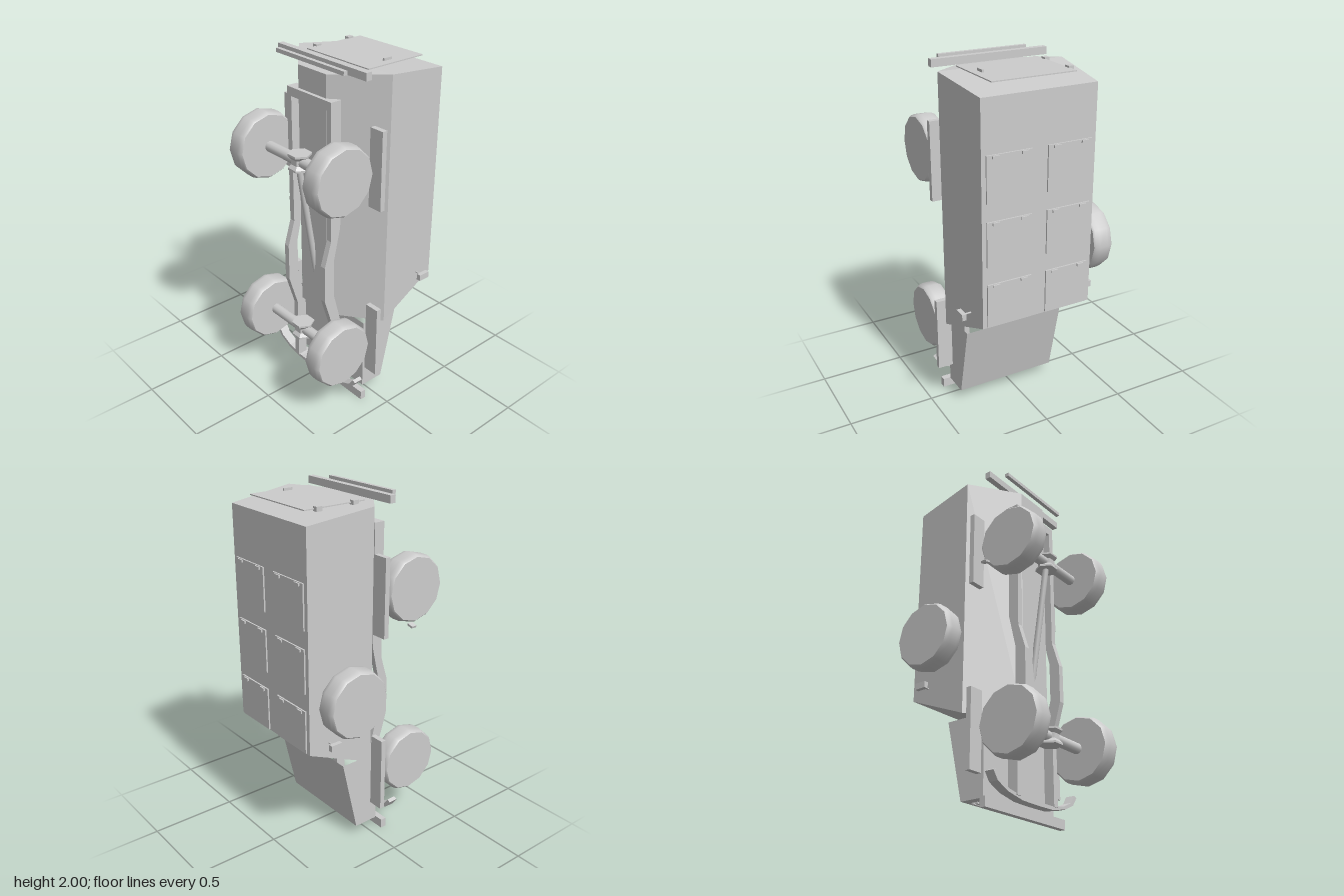
import * as THREE from 'three';
import { ConvexGeometry } from 'three/addons/geometries/ConvexGeometry.js';

const CX = 0.04; // centre line of the vehicle

export function createModel() {
  const root = new THREE.Group();
  const grey = new THREE.MeshStandardMaterial({ color: 0xcccccc });
  grey.name = 'plain grey';

  const add = (name, geo) => {
    const m = new THREE.Mesh(geo, grey);
    m.name = name;
    root.add(m);
    return m;
  };
  // box given by its limits on each axis
  const box = (name, x0, x1, y0, y1, z0, z1) => {
    const m = add(name, new THREE.BoxGeometry(x1 - x0, y1 - y0, z1 - z0));
    m.position.set((x0 + x1) / 2, (y0 + y1) / 2, (z0 + z1) / 2);
    return m;
  };
  // round bar between two points
  const bar = (name, a, b, r, sides = 12) => {
    const d = b.clone().sub(a);
    const m = add(name, new THREE.CylinderGeometry(r, r, d.length(), sides));
    m.position.copy(a).add(b).multiplyScalar(0.5);
    m.quaternion.setFromUnitVectors(new THREE.Vector3(0, 1, 0), d.normalize());
    return m;
  };
  const V = (x, y, z) => new THREE.Vector3(x, y, z);

  // Cabin and hull: roof, waist and keel lines as [half width, z, nose y, tail y]
  const hull = [];
  for (const [w, z, y0, y1] of [[0.33, -0.437, 0.675, 1.915], [0.365, -0.042, 0.51, 1.962], [0.11, 0.168, 0.52, 1.945]])
    for (const s of [-1, 1]) hull.push(V(CX + s * w, y0, z), V(CX + s * w, y1, z));
  add('hull', new ConvexGeometry(hull));

  // Engine hood: outward shell, open towards the cabin
  const L = -0.265, R = 0.345, hb = 0.505, hf = 0.06;
  const A = V(L, hb, -0.19), B = V(R, hb, -0.19), C = V(R, hb, 0.058), D = V(L, hb, 0.058);
  const E = V(L, hf, -0.09), F = V(R, hf, -0.09), G = V(R, hf, 0.058), H = V(L, hf, 0.058);
  const pts = [];
  for (const [a, b, c, d] of [[A, B, F, E], [B, C, G, F], [C, D, H, G], [D, A, E, H], [E, F, G, H]])
    pts.push(a, b, c, a, c, d);
  const hood = new THREE.BufferGeometry().setFromPoints(pts);
  hood.computeVertexNormals();
  add('hood', hood);
  // Grille slats
  for (let i = 0; i < 4; i++) box('grilleSlat', L + 0.05, R - 0.05, 0.05, 0.061, -0.06 + i * 0.025, -0.045 + i * 0.025);

  // Chassis rails that step down under the cabin
  const rail = new THREE.Shape([
    [0.19, 1.82], [0.19, 1.03], [0.235, 0.88], [0.235, 0.66], [0.178, 0.47], [0.178, 0.08],
    [0.118, 0.08], [0.118, 0.48], [0.17, 0.68], [0.17, 0.9], [0.125, 1.1], [0.125, 1.82],
  ].map(p => new THREE.Vector2(...p)));
  for (const x of [-0.105, 0.215]) {
    const g = new THREE.ExtrudeGeometry(rail, { depth: 0.035, bevelEnabled: false });
    g.rotateY(-Math.PI / 2).translate(x, 0, 0);
    add('chassisRail', g);
  }
  box('rearCrossMember', -0.105, 0.18, 1.77, 1.82, 0.125, 0.19);

  // Curved bar at the nose
  const half = [[0.365, 0.17], [0.33, 0.122], [0.25, 0.085], [0.13, 0.062], [0.04, 0.06]];
  const outer = [...half.map(([x, y]) => [-x, y]), ...half.slice().reverse()];
  const inner = half.map(([x, y], i) => [x - 0.02 + i * 0.005, y + 0.01 + i * 0.003]);
  const innerAll = [...inner, ...inner.slice().reverse().map(([x, y]) => [-x, y])];
  const bow = new THREE.Shape([...outer, ...innerAll].map(([x, y]) => new THREE.Vector2(CX + x, y)));
  const bowGeo = new THREE.ExtrudeGeometry(bow, { depth: 0.055, bevelEnabled: false });
  add('noseBar', bowGeo.translate(0, 0, 0.117));

  // Bumpers and rear step
  box('frontBumper', -0.305, 0.385, 0, 0.055, 0.07, 0.105);
  box('rearBumper', -0.305, 0.385, 1.955, 1.997, 0.08, 0.115);
  box('rearStep', -0.225, 0.305, 1.978, 2, 0.165, 0.188);

  // Wheels: smooth twelve-sided tread with flat side discs
  const profile = [[0.18, -0.058], [0.189, -0.048], [0.194, -0.025], [0.194, 0.025], [0.189, 0.048], [0.18, 0.058]]
    .map(p => new THREE.Vector2(...p));
  const wheel = (name, x, y, z) => {
    const g = new THREE.Group();
    g.name = name;
    g.add(new THREE.Mesh(new THREE.LatheGeometry(profile, 12), grey));
    for (const s of [-1, 1]) {
      const disc = new THREE.Mesh(new THREE.CircleGeometry(0.18, 12), grey);
      disc.rotation.x = -s * Math.PI / 2;
      disc.position.y = s * 0.058;
      g.add(disc);
    }
    g.rotation.z = Math.PI / 2;
    g.position.set(x, y, z);
    root.add(g);
  };

  // Axles with hexagonal spool-shaped differentials
  const spool = [[0, -0.045], [0.065, -0.045], [0.065, -0.034], [0.048, -0.015], [0.048, 0.015], [0.065, 0.034], [0.065, 0.045], [0, 0.045]]
    .map(p => new THREE.Vector2(...p));
  const spoolGeo = new THREE.LatheGeometry(spool, 6, Math.PI / 2).toNonIndexed();
  spoolGeo.computeVertexNormals();
  for (const y of [0.41, 1.472]) {
    wheel('wheel', -0.272, y, 0.262);
    wheel('wheel', 0.352, y, 0.262);
    bar('axle', V(-0.22, y, 0.26), V(0.3, y, 0.26), 0.031);
    add('differential', spoolGeo).position.set(0.045, y, 0.258);
  }
  bar('driveShaft', V(0.037, 1.45, 0.262), V(0.037, 0.75, 0.15), 0.018, 8);

  // Spare wheel on the side
  wheel('spareWheel', -0.398, 0.97, -0.228);
  box('spareWheelMount', -0.345, -0.29, 0.885, 1.06, -0.27, -0.185);

  // Fenders and mirrors on both sides
  for (const s of [-1, 1]) {
    for (const y of [0.185, 1.25]) {
      const a = CX + s * 0.307, b = CX + s * 0.396;
      box('fender', Math.min(a, b), Math.max(a, b), y, y + 0.445, 0.014, 0.044);
    }
    bar('mirrorArm', V(CX + s * 0.33, 0.718, -0.315), V(CX + s * 0.39, 0.718, -0.315), 0.005, 6);
    const m = box('mirror', -0.0125, 0.0125, 0.7, 0.736, -0.35, -0.28);
    m.position.x = CX + s * 0.396;
  }
  // Small tilted plate beside the hull
  box('sidePlate', -0.42, -0.385, 1.303, 1.315, 0.152, 0.185).rotation.z = 0.3;

  // Rear door with hinges and handle
  box('rearDoor', -0.2, 0.28, 1.964, 1.97, -0.38, 0.003);
  for (const z of [-0.32, -0.09]) box('rearDoorHinge', -0.22, -0.19, 1.955, 1.98, z, z + 0.036);
  box('rearDoorHandle', 0.226, 0.237, 1.968, 1.984, -0.2, -0.145);

  // Roof hatches in two rows, each with two hinges
  for (const x of [-0.265, 0.085])
    for (const y of [0.68, 1.03, 1.38]) {
      box('roofHatch', x, x + 0.26, y, y + 0.25, -0.446, -0.436);
      for (const dx of [0.025, 0.19]) box('roofHatchHinge', x + dx, x + dx + 0.04, y + 0.232, y + 0.247, -0.455, -0.44);
    }
  return root;
}
